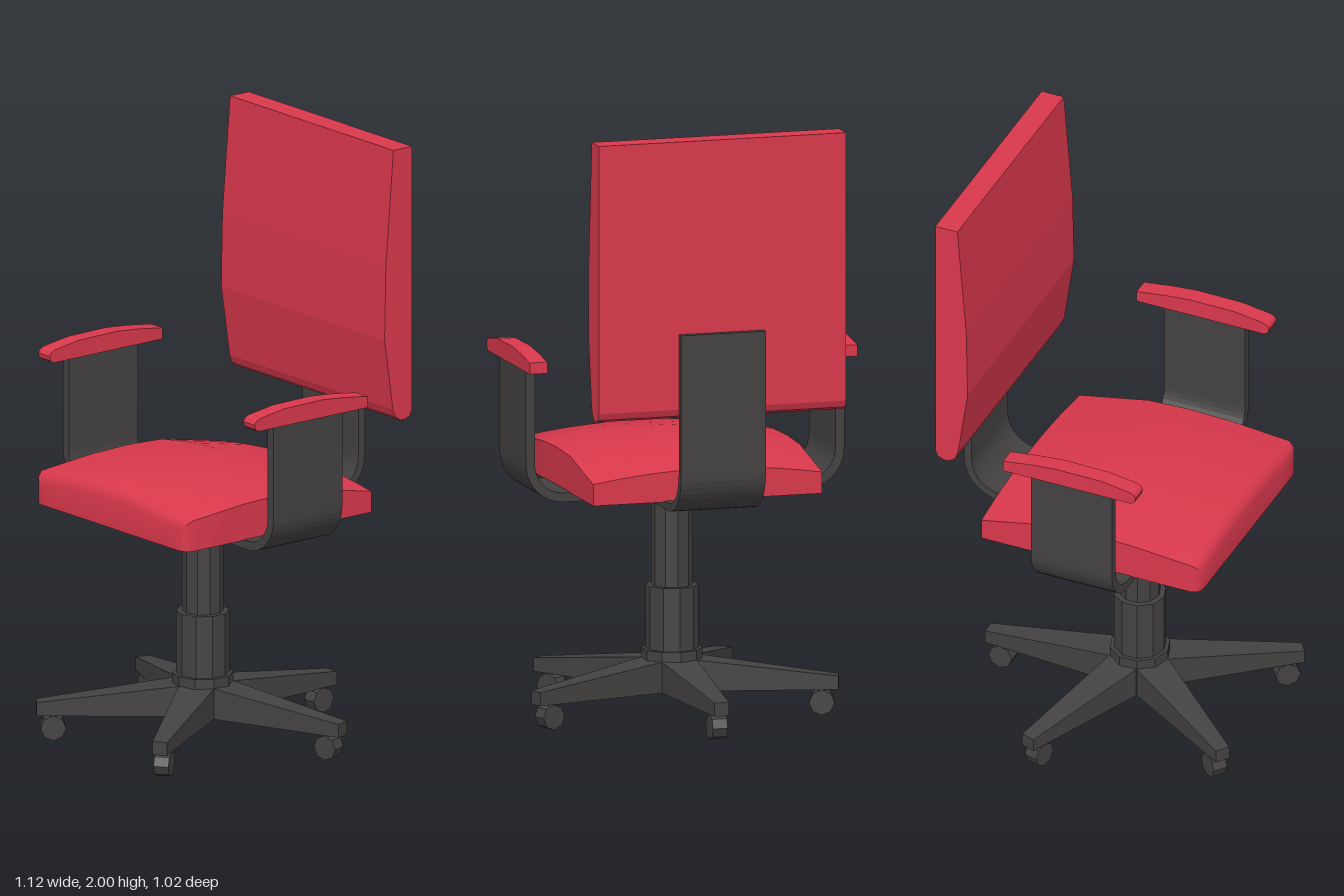
import * as THREE from 'three';
import { toCreasedNormals } from 'three/addons/utils/BufferGeometryUtils.js';

export function createModel() {
  const model = new THREE.Group();
  model.name = 'officeChair';
  const red = new THREE.MeshStandardMaterial({ color: 0xd9384c });
  red.name = 'red upholstery';
  const grey = new THREE.MeshStandardMaterial({ color: 0x444141 });
  grey.name = 'dark grey frame';

  const add = (parent, name, geometry, material, x = 0, y = 0, z = 0) => {
    const mesh = new THREE.Mesh(geometry, material);
    mesh.name = name;
    mesh.position.set(x, y, z);
    parent.add(mesh);
    return mesh;
  };
  const extrude = (shape, depth) =>
    new THREE.ExtrudeGeometry(shape, { depth, bevelEnabled: false, curveSegments: 5 }).translate(0, 0, -depth / 2);
  // Side profile in (z, y), extruded across x
  const sideExtrude = (shape, width) => extrude(shape, width).rotateY(-Math.PI / 2);
  const polygon = (points) => new THREE.Shape(points.map(([a, b]) => new THREE.Vector2(a, b)));

  const axisZ = 0.055;

  // Star base: pentagonal hub, five tapered legs, casters
  const base = new THREE.Group();
  base.name = 'starBase';
  base.position.z = axisZ;
  model.add(base);
  const hub = new THREE.CylinderGeometry(0.105, 0.105, 0.103, 5).toNonIndexed();
  hub.computeVertexNormals();
  add(base, 'hub', hub, grey, 0, 0.1365, 0);

  const legGeometry = new THREE.BoxGeometry(1, 1, 1);
  const lp = legGeometry.attributes.position;
  for (let i = 0; i < lp.count; i++) {
    const outer = lp.getZ(i) > 0;
    const top = lp.getY(i) > 0;
    lp.setXYZ(
      i,
      Math.sign(lp.getX(i)) * (outer ? 0.025 : 0.06),
      top ? (outer ? 0.13 : 0.188) : 0.085,
      outer ? 0.545 : 0.083
    );
  }
  legGeometry.computeVertexNormals();
  const wheel = new THREE.CylinderGeometry(0.042, 0.042, 0.05, 8).rotateZ(Math.PI / 2).toNonIndexed();
  wheel.computeVertexNormals();
  const stem = new THREE.BoxGeometry(0.024, 0.05, 0.024);
  for (let i = 0; i < 5; i++) {
    const leg = new THREE.Group();
    leg.name = 'leg' + (i + 1);
    leg.rotation.y = Math.PI + (i * Math.PI * 2) / 5;
    base.add(leg);
    add(leg, 'legArm', legGeometry, grey);
    add(leg, 'casterStem', stem, grey, 0, 0.075, 0.49);
    add(leg, 'casterWheel', wheel, grey, 0, 0.042, 0.49);
  }

  // Stepped central column
  for (const [name, radius, bottom, top] of [
    ['columnCollar', 0.1, 0.18, 0.22],
    ['columnSleeve', 0.087, 0.22, 0.43],
    ['columnShaft', 0.068, 0.43, 0.76],
  ]) {
    const geometry = new THREE.CylinderGeometry(radius, radius, top - bottom, 10).toNonIndexed();
    geometry.computeVertexNormals();
    add(model, name, geometry, grey, 0, (top + bottom) / 2, axisZ);
  }

  // U-shaped strap carrying both armrests
  const u = new THREE.Shape();
  u.moveTo(-0.545, 1.2);
  u.lineTo(-0.545, 0.88);
  u.absarc(-0.415, 0.88, 0.13, Math.PI, Math.PI * 1.5, false);
  u.absarc(0.415, 0.88, 0.13, Math.PI * 1.5, Math.PI * 2, false);
  u.lineTo(0.545, 1.2);
  u.lineTo(0.515, 1.2);
  u.absarc(0.415, 0.88, 0.1, 0, -Math.PI / 2, true);
  u.absarc(-0.415, 0.88, 0.1, -Math.PI / 2, -Math.PI, true);
  u.lineTo(-0.515, 1.2);
  add(model, 'armStrap', extrude(u, 0.29), grey, 0, 0, axisZ);

  // L-shaped strap carrying the backrest
  const l = new THREE.Shape();
  l.moveTo(-0.08, 0.782);
  l.lineTo(-0.373, 0.782);
  l.absarc(-0.373, 0.892, 0.11, -Math.PI / 2, -Math.PI, true);
  l.lineTo(-0.483, 1.36);
  l.lineTo(-0.51, 1.36);
  l.absarc(-0.373, 0.892, 0.137, Math.PI, Math.PI * 1.5, false);
  l.lineTo(-0.08, 0.755);
  add(model, 'backStrap', sideExtrude(l, 0.29), grey);

  // Backrest cushion
  const back = polygon([
    [-0.486, 2], [-0.486, 1.11], [-0.477, 1.088], [-0.455, 1.078], [-0.435, 1.08], [-0.415, 1.094],
    [-0.405, 1.12], [-0.37, 1.36], [-0.375, 1.61], [-0.407, 2],
  ]);
  add(model, 'backrest', sideExtrude(back, 0.847), red, -0.004);

  // Armrest pads
  const pad = polygon([
    [-0.183, 1.198], [0.275, 1.198], [0.288, 1.206], [0.292, 1.222], [0.285, 1.234], [0.27, 1.241],
    [0.17, 1.256], [0.01, 1.258], [-0.08, 1.25], [-0.183, 1.236],
  ]);
  for (const side of [1, -1]) {
    add(model, side > 0 ? 'leftArmrest' : 'rightArmrest', sideExtrude(pad, 0.06), red, side * 0.531);
  }

  // Crowned seat cushion: rows of [z, half width, top height], front to back
  const rows = [
    [0.445, 0.36, 0.875], [0.436, 0.382, 0.9], [0.415, 0.392, 0.915], [0.2, 0.392, 0.934],
    [0.05, 0.392, 0.938], [-0.09, 0.392, 0.932], [-0.337, 0.392, 0.882],
  ];
  const seat = new THREE.BoxGeometry(1, 1, 1, 10, 1, rows.length - 1);
  const sp = seat.attributes.position;
  for (let i = 0; i < sp.count; i++) {
    const [z, half, top] = rows[Math.round((0.5 - sp.getZ(i)) * (rows.length - 1))];
    const s = sp.getX(i) * 2;
    sp.setXYZ(i, s * half, sp.getY(i) > 0 ? top - 0.033 * s * s : 0.778, z);
  }
  add(model, 'seat', toCreasedNormals(seat, 0.85), red);

  return model;
}
